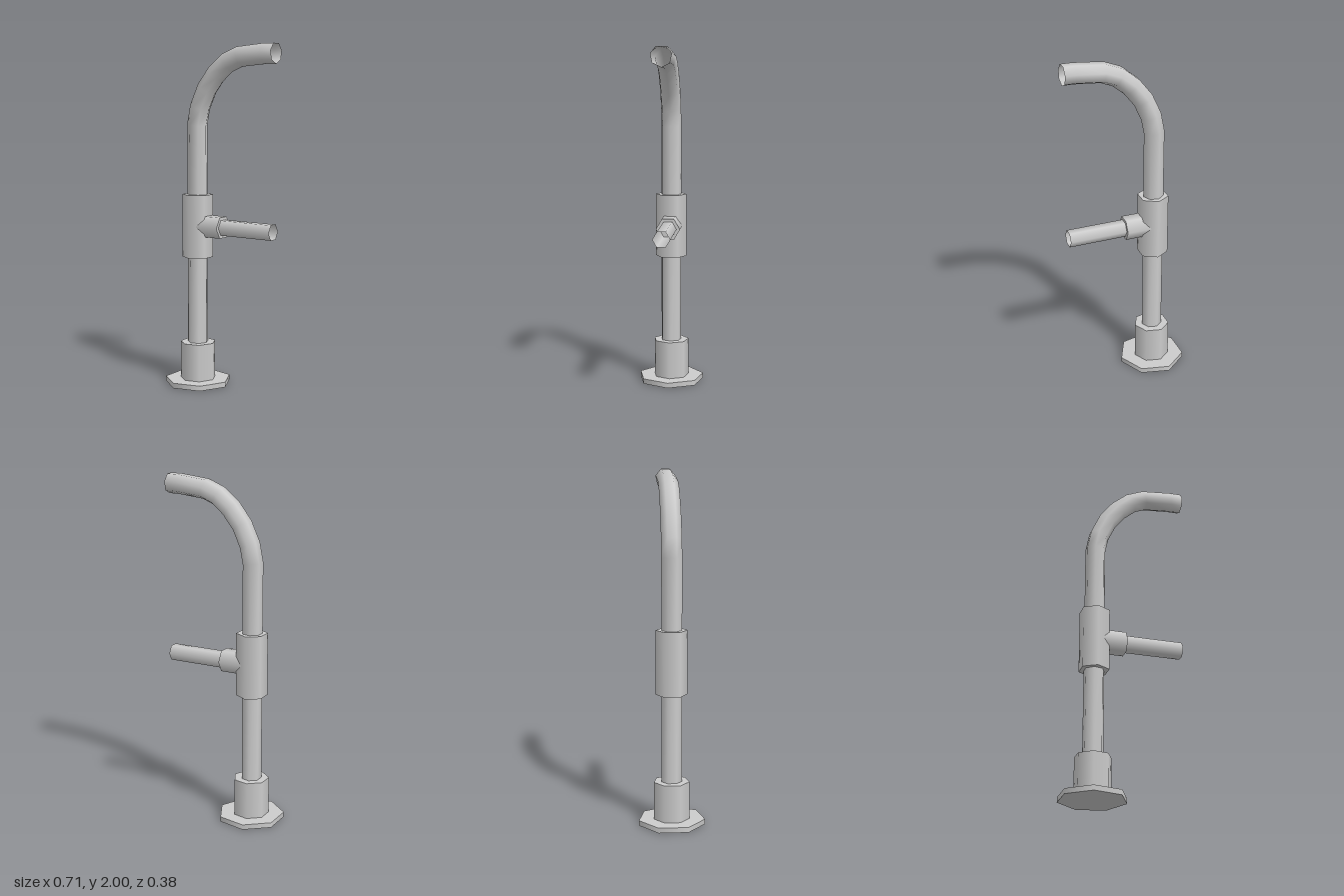
import * as THREE from 'three';

const AXIS_X = -0.18;   // centre line of the standing pipe
const BRANCH_Y = 0.947; // height of the side branch

const solid = new THREE.MeshStandardMaterial({ color: 0xcccccc });
const open = new THREE.MeshStandardMaterial({ color: 0xcccccc, side: THREE.DoubleSide });

// Upright prism from y0 to y1 on the pipe axis
function upright(name, radius, sides, y0, y1, start) {
  const geo = new THREE.CylinderGeometry(radius, radius, y1 - y0, sides, 1, false, start);
  const mesh = new THREE.Mesh(geo, solid);
  mesh.name = name;
  mesh.position.set(AXIS_X, (y0 + y1) / 2, 0);
  return mesh;
}

// Horizontal prism along x
function sideways(name, radius, sides, x0, x1, hollow) {
  const geo = new THREE.CylinderGeometry(radius, radius, x1 - x0, sides, 1, hollow);
  geo.rotateZ(-Math.PI / 2);
  const mesh = new THREE.Mesh(geo, hollow ? open : solid);
  mesh.name = name;
  mesh.position.set((x0 + x1) / 2, BRANCH_Y, 0);
  return mesh;
}

// Open tube following a path in the xy plane, one ring per point
function bentTube(path, radius, sides) {
  const pos = [], index = [];
  const dir = (a, b) => b.clone().sub(a).normalize();
  path.forEach((p, i) => {
    const t = new THREE.Vector2();
    if (i > 0) t.add(dir(path[i - 1], p));
    if (i < path.length - 1) t.add(dir(p, path[i + 1]));
    t.normalize();
    for (let j = 0; j < sides; j++) {
      const a = (j / sides) * Math.PI * 2;
      const r = radius * Math.cos(a);
      pos.push(p.x + t.y * r, p.y - t.x * r, radius * Math.sin(a));
      if (i === 0) continue;
      const k = (j + 1) % sides;
      const lo = (i - 1) * sides, hi = i * sides;
      index.push(lo + j, hi + j, lo + k, lo + k, hi + j, hi + k);
    }
  });
  const geo = new THREE.BufferGeometry();
  geo.setAttribute('position', new THREE.Float32BufferAttribute(pos, 3));
  geo.setIndex(index);
  geo.computeVertexNormals();
  return geo;
}

export function createModel() {
  const group = new THREE.Group();
  group.name = 'pipeOutlet';

  // Floor flange and collar
  group.add(upright('floorFlange', 0.195, 7, 0, 0.03, Math.PI / 2));
  group.add(upright('baseCollar', 0.105, 7, 0.03, 0.25, Math.PI / 2));

  // Standing pipe with the curved spout
  const path = [
    [AXIS_X, 0.02], [AXIS_X, 1.535], [-0.16, 1.635], [-0.112, 1.74], [-0.045, 1.826],
    [0.035, 1.893], [0.12, 1.928], [0.285, 1.945], [0.352, 1.946],
  ].map(([x, y]) => new THREE.Vector2(x, y));
  const pipe = new THREE.Mesh(bentTube(path, 0.06, 7), open);
  pipe.name = 'mainPipe';
  group.add(pipe);

  // Tee fitting with its side branch
  group.add(upright('teeBody', 0.09, 6, 0.76, 1.13, 0));
  group.add(sideways('teeSocket', 0.07, 6, AXIS_X, 0, false));
  group.add(sideways('branchPipe', 0.05, 6, -0.02, 0.34, true));

  return group;
}
